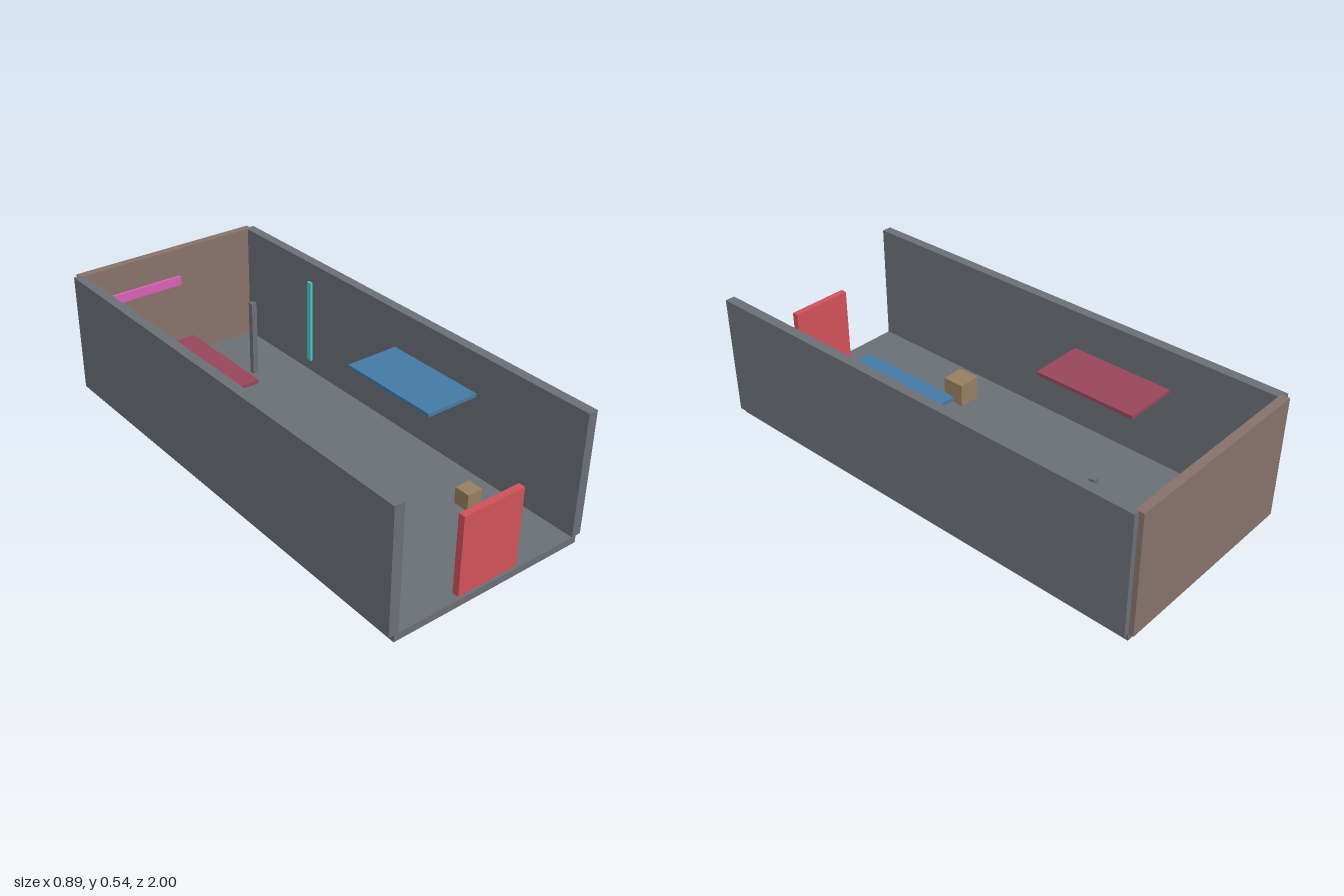
import * as THREE from 'three';

const mat = (name, color) => {
  const m = new THREE.MeshStandardMaterial({ color });
  m.name = name;
  return m;
};

export function createModel() {
  const group = new THREE.Group();
  const grey = mat('slate grey', 0x6b7076);
  const brown = mat('brown', 0x87726a);
  const red = mat('red', 0xd0525a);
  const blue = mat('blue', 0x437aa6);
  const maroon = mat('maroon', 0x98465c);
  const pink = mat('pink', 0xd860b6);
  const teal = mat('teal', 0x48c8cc);
  const tan = mat('tan', 0x967e60);

  // Box given by its lower and upper limits on each axis
  const box = (name, material, [x0, x1], [y0, y1], [z0, z1]) => {
    const mesh = new THREE.Mesh(new THREE.BoxGeometry(x1 - x0, y1 - y0, z1 - z0), material);
    mesh.position.set((x0 + x1) / 2, (y0 + y1) / 2, (z0 + z1) / 2);
    mesh.name = name;
    group.add(mesh);
  };

  // Room shell, open at the front and top
  box('floor', grey, [-0.423, 0.423], [0, 0.03], [-0.98, 1]);
  box('rightWall', grey, [-0.445, -0.404], [0.03, 0.539], [-0.98, 1]);
  box('leftWall', grey, [0.404, 0.445], [0.03, 0.539], [-0.98, 1]);
  box('backWall', brown, [-0.423, 0.423], [0.03, 0.54], [-1, -0.965]);

  // Door panel standing in the open front
  box('door', red, [-0.136, 0.135], [0.03, 0.356], [0.963, 0.99]);

  // Shelves on the side walls and a rail on the back wall
  box('rightShelf', maroon, [-0.404, -0.17], [0.362, 0.377], [-0.53, -0.08]);
  box('leftShelf', blue, [0.168, 0.404], [0.362, 0.377], [0.035, 0.488]);
  box('backRail', pink, [-0.404, 0.041], [0.378, 0.418], [-0.965, -0.952]);

  // Uprights
  box('post', grey, [0.186, 0.21], [0.03, 0.365], [-0.654, -0.63]);
  box('wallStrip', teal, [0.375, 0.385], [0.1, 0.468], [-0.495, -0.47]);

  // Crates on the floor
  box('largeCrate', tan, [-0.276, -0.179], [0.03, 0.129], [0.327, 0.424]);
  box('smallCrate', tan, [0.219, 0.288], [0.03, 0.1], [0.597, 0.665]);

  return group;
}
